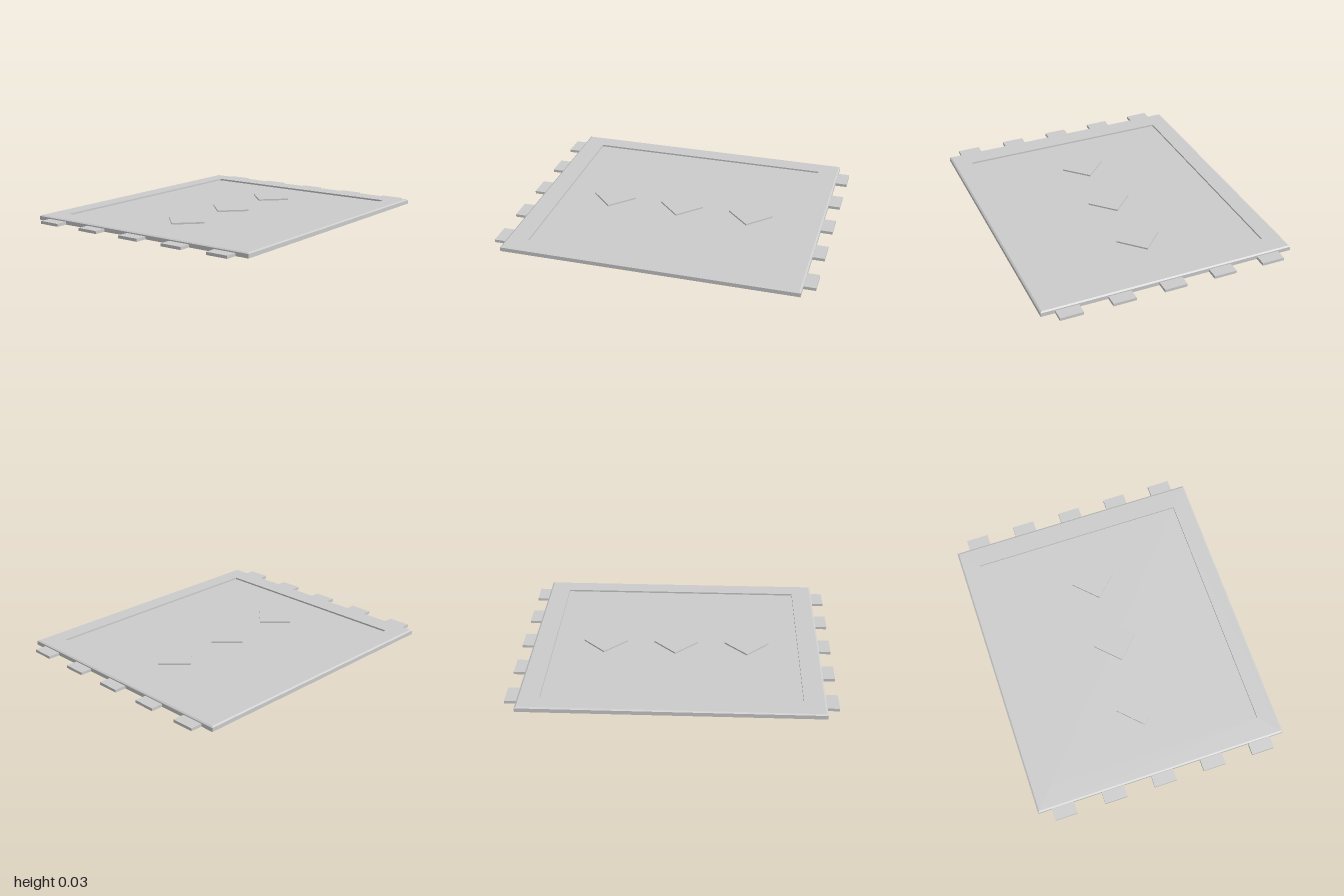
import * as THREE from 'three';

const material = new THREE.MeshStandardMaterial({
  color: 0xcccccc, flatShading: true, side: THREE.DoubleSide,
});

// Four corners, counter-clockwise seen from above
const rect = (hx, hz, y) => [[hx, y, hz], [hx, y, -hz], [-hx, y, -hz], [-hx, y, hz]];
const diamond = (r, y) => [[0, y, r], [r, y, 0], [0, y, -r], [-r, y, 0]];

// Joins successive four-cornered loops with walls; optionally closes the last one
function shell(name, loops, capped) {
  const positions = [];
  const quad = (a, b, c, d) => positions.push(...a, ...b, ...c, ...a, ...c, ...d);
  for (let k = 0; k < loops.length - 1; k++) {
    for (let i = 0; i < 4; i++) {
      const j = (i + 1) % 4;
      quad(loops[k][i], loops[k][j], loops[k + 1][j], loops[k + 1][i]);
    }
  }
  if (capped) quad(...loops[loops.length - 1]);
  const geometry = new THREE.BufferGeometry();
  geometry.setAttribute('position', new THREE.Float32BufferAttribute(positions, 3));
  geometry.computeVertexNormals();
  const mesh = new THREE.Mesh(geometry, material);
  mesh.name = name;
  return mesh;
}

export function createModel() {
  const rug = new THREE.Group();
  rug.name = 'rug';

  // Raised border with a chamfered outer edge, open underneath
  rug.add(shell('border', [
    rect(0.925, 0.81, 0),
    rect(0.925, 0.81, 0.025),
    rect(0.915, 0.8, 0.031),
    rect(0.79, 0.69, 0.031),
    rect(0.79, 0.69, 0),
  ], false));

  // Recessed field inside the border
  rug.add(shell('field', [rect(0.79, 0.69, 0.02)], true));

  // Row of raised diamonds
  for (const x of [-0.46, 0, 0.46]) {
    const motif = shell('diamondMotif', [diamond(0.143, 0), diamond(0.143, 0.03)], true);
    motif.position.x = x;
    rug.add(motif);
  }

  // Tassels along both short ends
  for (const side of [-1, 1]) {
    for (let i = -2; i <= 2; i++) {
      const tassel = shell('tassel', [rect(0.0375, 0.0725, 0), rect(0.0375, 0.0725, 0.018)], true);
      tassel.position.set(side * 0.9625, 0, i * 0.325);
      rug.add(tassel);
    }
  }
  return rug;
}
